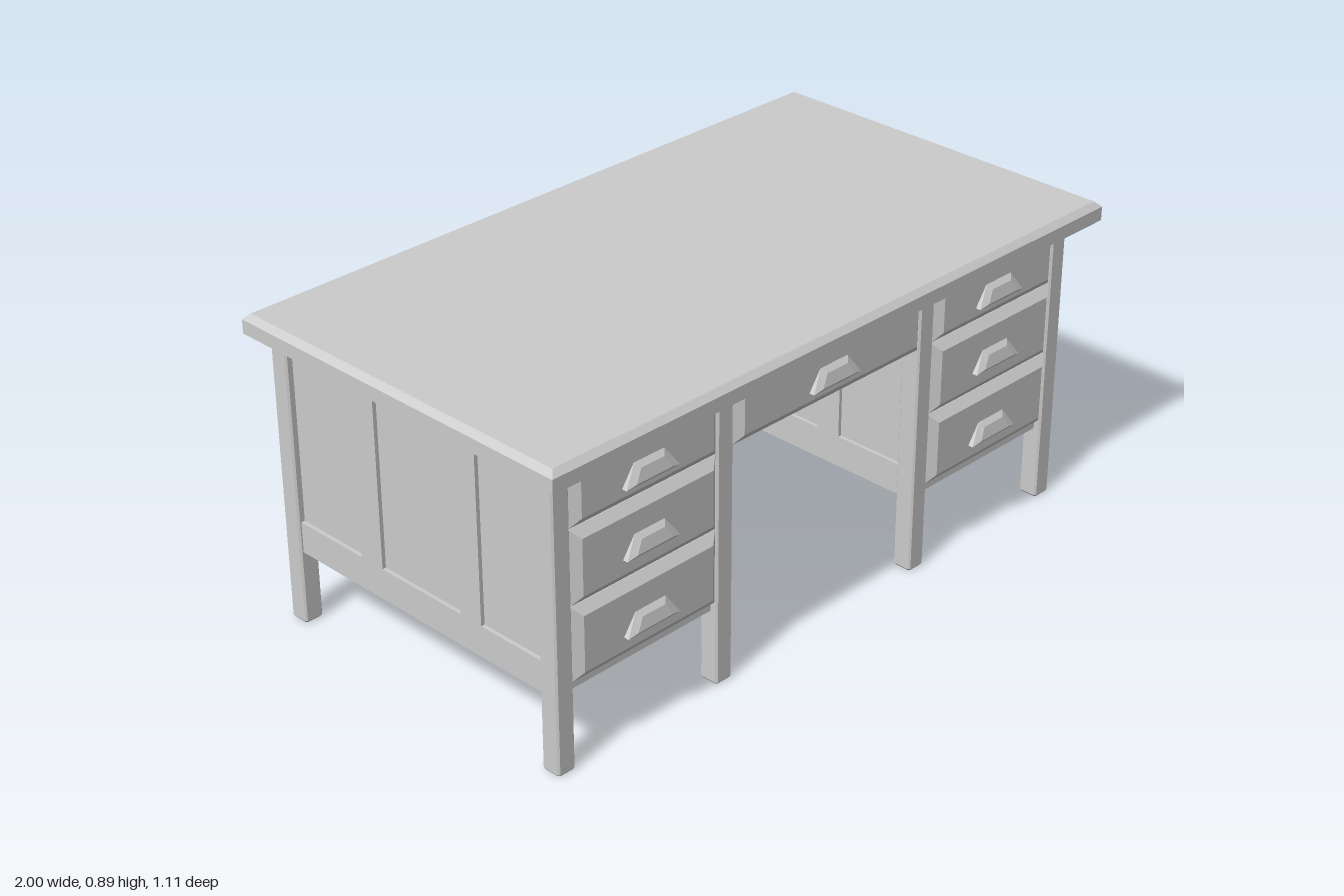
import * as THREE from 'three';

const material = new THREE.MeshStandardMaterial({ color: 0xcccccc, flatShading: true });

function add(parent, name, geometry, x = 0, y = 0, z = 0) {
  const mesh = new THREE.Mesh(geometry, material);
  mesh.name = name;
  mesh.position.set(x, y, z);
  parent.add(mesh);
  return mesh;
}

// Box given by its limits
function addBox(parent, name, x0, x1, y0, y1, z0, z1) {
  return add(parent, name, new THREE.BoxGeometry(x1 - x0, y1 - y0, z1 - z0),
    (x0 + x1) / 2, (y0 + y1) / 2, (z0 + z1) / 2);
}

// Closed solid through rings of points, counter-clockwise seen from +z, back to front
function loft(rings) {
  const pos = [];
  const n = rings[0].length;
  const tri = (a, b, c) => pos.push(...a, ...b, ...c);
  for (let r = 0; r + 1 < rings.length; r++) {
    for (let i = 0; i < n; i++) {
      const j = (i + 1) % n;
      const [a, b, c, d] = [rings[r][i], rings[r][j], rings[r + 1][j], rings[r + 1][i]];
      tri(a, b, c);
      tri(a, c, d);
    }
  }
  const first = rings[0], last = rings[rings.length - 1];
  for (let i = 1; i + 1 < n; i++) {
    tri(first[0], first[i + 1], first[i]);
    tri(last[0], last[i], last[i + 1]);
  }
  const geometry = new THREE.BufferGeometry();
  geometry.setAttribute('position', new THREE.Float32BufferAttribute(pos, 3));
  geometry.computeVertexNormals();
  return geometry;
}

// Rectangle ring with half sizes w, h and cut corners c
function ring(w, h, z, c = 0) {
  if (!c) return [[-w, -h, z], [w, -h, z], [w, h, z], [-w, h, z]];
  return [[-w + c, -h, z], [w - c, -h, z], [w, -h + c, z], [w, h - c, z],
    [w - c, h, z], [-w + c, h, z], [-w, h - c, z], [-w, -h + c, z]];
}

// Drawer front with bevelled edges and a faceted cup pull
function addDrawer(parent, name, width, y0, y1, handleY, x) {
  const drawer = new THREE.Group();
  drawer.name = name;
  const w = width / 2, h = (y1 - y0) / 2, b = 0.026;
  add(drawer, 'drawerFront', loft([ring(w, h, 0.455), ring(w, h, 0.478), ring(w - b, h - b, 0.498)]),
    x, (y0 + y1) / 2);
  const trapezoid = (bottom, top, yb, yt, zb, zt) =>
    [[-bottom, yb, zb], [bottom, yb, zb], [top, yt, zt], [-top, yt, zt]];
  add(drawer, 'drawerPull', loft([
    trapezoid(0.088, 0.05, 0, 0.055, 0.49, 0.49),
    trapezoid(0.088, 0.05, 0, 0.055, 0.513, 0.499),
    trapezoid(0.06, 0.038, 0.009, 0.042, 0.519, 0.511),
  ]), x, handleY);
  parent.add(drawer);
}

export function createModel() {
  const desk = new THREE.Group();
  desk.name = 'desk';

  // Table top with a bevelled upper edge
  const top = loft([ring(1, 0.555, 0.84), ring(1, 0.555, 0.879), ring(0.984, 0.539, 0.895)]);
  add(desk, 'tableTop', top.rotateX(-Math.PI / 2));

  // Eight square legs with chamfered corners and feet
  const leg = loft([ring(0.024, 0.025, 0, 0.005), ring(0.028, 0.029, 0.006, 0.005),
    ring(0.028, 0.029, 0.84, 0.005)]).rotateX(-Math.PI / 2);
  for (const x of [-0.914, -0.372, 0.372, 0.914]) {
    add(desk, 'frontLeg', leg, x, 0, 0.457);
    add(desk, 'backLeg', leg, x, 0, -0.498);
  }

  for (const side of [-1, 1]) {
    const pedestal = new THREE.Group();
    pedestal.name = side > 0 ? 'leftPedestal' : 'rightPedestal';
    desk.add(pedestal);

    // Carcass, closed underneath
    const [a, b] = [0.362 * side, 0.922 * side].sort((p, q) => p - q);
    addBox(pedestal, 'carcass', a, b, 0.215, 0.84, -0.512, 0.465);

    // Raised rail and stiles on the outer and the inner side
    for (const [inner, outer] of [[0.91, 0.933], [0.352, 0.375]]) {
      const [x0, x1] = [inner * side, outer * side].sort((p, q) => p - q);
      addBox(pedestal, 'bottomRail', x0, x1, 0.215, 0.305, -0.475, 0.435);
      addBox(pedestal, 'stile', x0, x1, 0.305, 0.837, 0.14, 0.215);
      addBox(pedestal, 'stile', x0, x1, 0.305, 0.837, -0.23, -0.15);
    }

    // Three drawers
    const rows = [[0.668, 0.84, 0.718], [0.457, 0.666, 0.525], [0.245, 0.455, 0.308]];
    for (const [y0, y1, pullY] of rows) {
      addDrawer(pedestal, 'pedestalDrawer', 0.486, y0, y1, pullY, 0.643 * side);
    }
  }

  // Middle drawer with its box, and the panel behind the knee space
  addDrawer(desk, 'middleDrawer', 0.69, 0.668, 0.84, 0.718, 0);
  addBox(desk, 'middleDrawerBox', -0.362, 0.362, 0.67, 0.84, -0.49, 0.46);
  addBox(desk, 'kneePanel', -0.362, 0.362, 0.31, 0.84, -0.512, -0.485);

  return desk;
}
